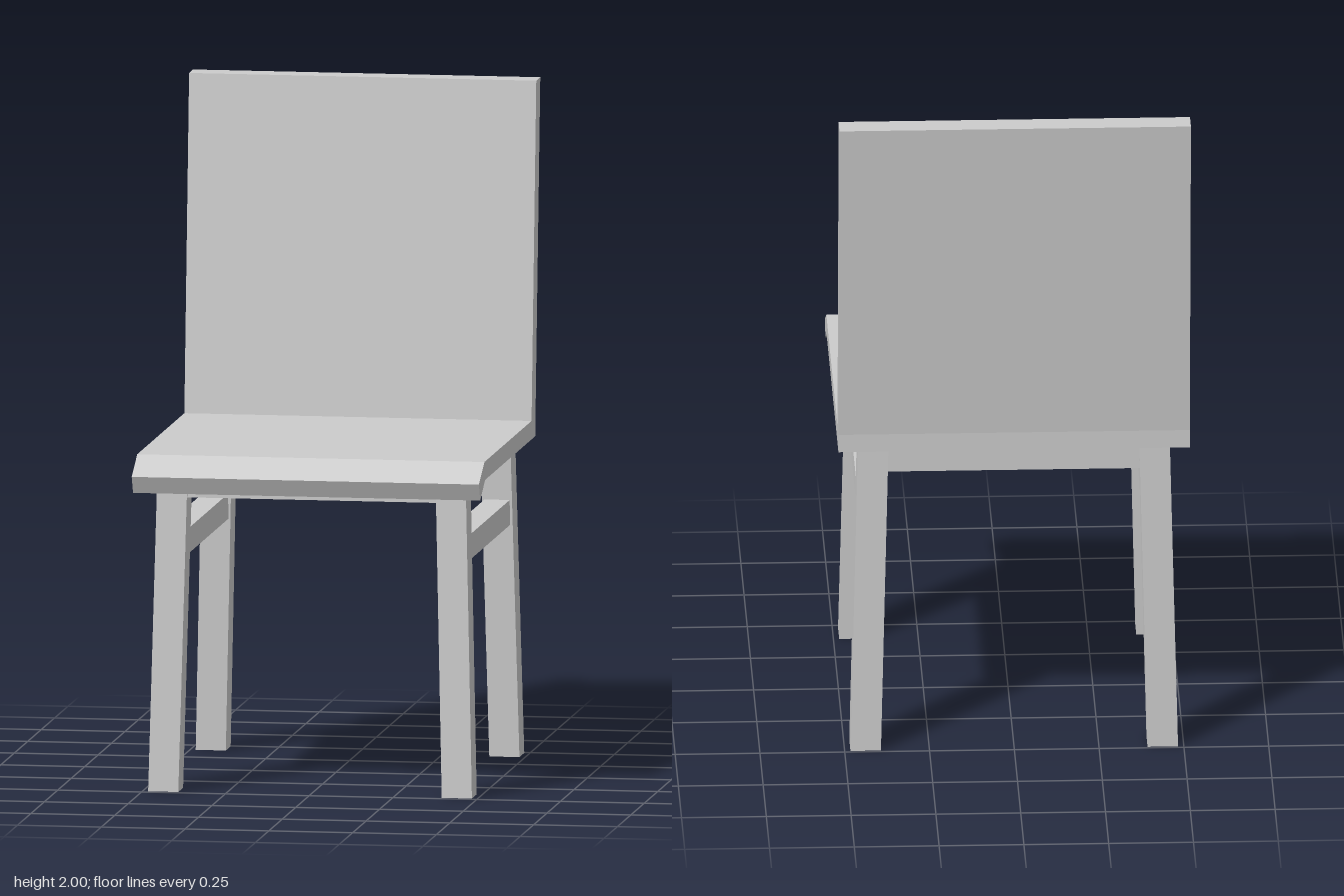
import * as THREE from 'three';

const material = new THREE.MeshStandardMaterial({ color: 0xcccccc, flatShading: true });

function addMesh(group, geometry, name) {
  const mesh = new THREE.Mesh(geometry, material);
  mesh.name = name;
  group.add(mesh);
  return mesh;
}

// Bent slab: backrest, seat and drooping front lip share one side profile [z, y]
function shellGeometry(halfWidth) {
  const profile = [
    [-0.572, 2], [-0.497, 2], [-0.409, 1], [0.468, 1], [0.571, 0.947],
    [0.546, 0.896], [0.455, 0.945], [-0.482, 0.945], [-0.482, 1],
  ];
  const shape = new THREE.Shape(profile.map(([z, y]) => new THREE.Vector2(-z, y)));
  const geometry = new THREE.ExtrudeGeometry(shape, { depth: 2 * halfWidth, bevelEnabled: false });
  geometry.translate(0, 0, -halfWidth);
  return geometry.rotateY(Math.PI / 2);
}

// Square leg sheared so that it splays outwards with level ends
function legGeometry(top, bottom, height, width) {
  const geometry = new THREE.BoxGeometry(width, height, width);
  geometry.translate(0, height / 2, 0);
  const p = geometry.attributes.position;
  for (let i = 0; i < p.count; i++) {
    const t = p.getY(i) / height;
    p.setX(i, p.getX(i) + THREE.MathUtils.lerp(bottom[0], top[0], t));
    p.setZ(i, p.getZ(i) + THREE.MathUtils.lerp(bottom[1], top[1], t));
  }
  geometry.computeVertexNormals();
  return geometry;
}

export function createModel() {
  const chair = new THREE.Group();
  chair.name = 'chair';

  addMesh(chair, shellGeometry(0.518), 'seatAndBackrest');

  const bar = 0.075;
  for (const [side, sx] of [['left', 1], ['right', -1]]) {
    // Legs
    addMesh(chair, legGeometry([0.415 * sx, 0.41], [0.438 * sx, 0.438], 0.945, 0.09), side + 'FrontLeg');
    addMesh(chair, legGeometry([0.415 * sx, -0.42], [0.438 * sx, -0.447], 0.945, 0.09), side + 'BackLeg');

    // Side stretchers between front and back legs
    addMesh(chair, new THREE.BoxGeometry(bar, bar, 0.77), side + 'Stretcher')
      .position.set(0.42 * sx, 0.73, -0.004);
  }

  // Cross rails under the seat
  for (const [name, z] of [['frontRail', 0.412], ['backRail', -0.422]]) {
    addMesh(chair, new THREE.BoxGeometry(0.77, bar, bar), name).position.set(0, 0.91, z);
  }

  return chair;
}
